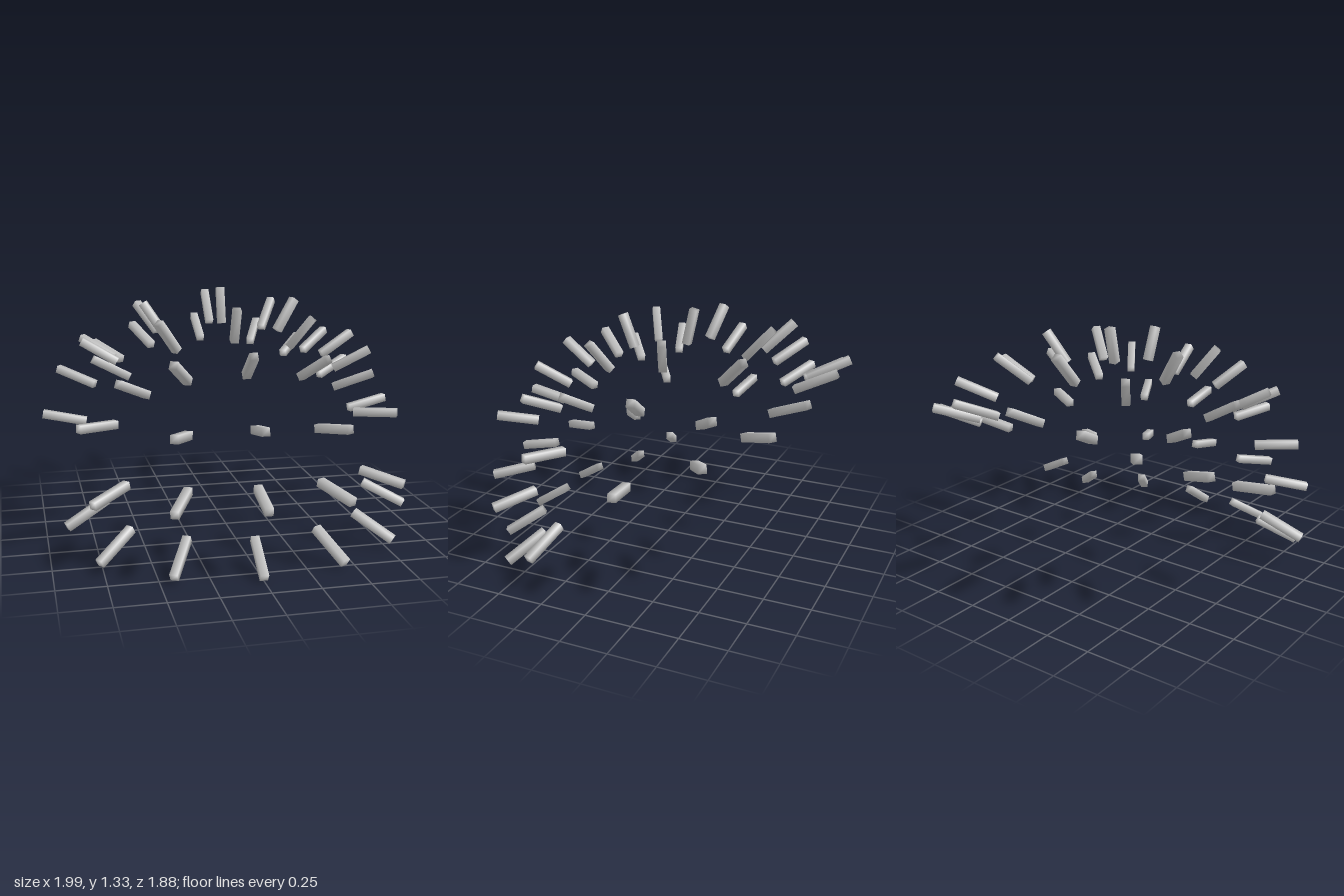
import * as THREE from 'three';
import { mergeVertices } from 'three/addons/utils/BufferGeometryUtils.js';

// Outer end of each bar [x, y, z], with an optional own aim point [y, z] on x = 0
const MIDDLE = [
  [0, 1.07, -0.93], [0, 1.26, -0.585], [0, 1.325, -0.15], [0, 1.255, 0.27],
  [0, 1.07, 0.63], [0, 0.75, 0.86], [0, 0.38, 0.94], [0, 0.018, 0.86],
];
const UPPER = [
  [0.4, 1.03, -0.9], [0.41, 1.2, -0.575], [0.43, 1.25, -0.155], [0.41, 1.195, 0.26], [0.39, 1.035, 0.59],
  [0.65, 0.94, -0.81], [0.74, 1.01, -0.55], [0.77, 1.05, -0.15], [0.74, 1.015, 0.235], [0.65, 0.94, 0.52],
];
const SIDE = [
  [0.88, 0.83, -0.56, 0.49, -0.03], [0.99, 0.657, -0.155, 0.47, 0.01],
  [0.84, 0.698, 0.41, 0.65, -0.08], [0.91, 0.18, 0.37, 0.66, 0.08],
];
const FRONT = [
  [0.43, 0.73, 0.83], [0.44, 0.375, 0.87], [0.435, 0.035, 0.8],
  [0.8, 0.37, 0.635], [0.77, 0.055, 0.59],
];

// Square bar whose normals are blended across its edges
function barGeometry(length) {
  const box = new THREE.BoxGeometry(0.042, 0.042, length);
  box.deleteAttribute('normal');
  box.deleteAttribute('uv');
  const geometry = mergeVertices(box);
  geometry.computeVertexNormals();
  return geometry;
}

export function createModel() {
  const model = new THREE.Group();
  model.name = 'radialBarDome';
  const material = new THREE.MeshStandardMaterial({ color: 0xcccccc });

  // Bar running inward from its outer end towards the aim point
  function addBar(name, side, [x, y, z, aimY = 0.59, aimZ = 0.01]) {
    const outer = new THREE.Vector3(side * x, y, z);
    const inward = new THREE.Vector3(0, aimY, aimZ).sub(outer);
    const length = 0.08 + 0.155 * inward.length();
    inward.normalize();
    const bar = new THREE.Mesh(barGeometry(length), material);
    bar.name = name;
    bar.position.copy(outer).addScaledVector(inward, length / 2);
    bar.lookAt(outer);
    model.add(bar);
  }

  // Bars along the middle plane
  MIDDLE.forEach((p, i) => addBar(`middleBar${i + 1}`, 1, p));

  // Mirrored bars
  for (const [name, points] of Object.entries({ Upper: UPPER, Side: SIDE, Front: FRONT })) {
    points.forEach((p, i) => {
      addBar(`left${name}Bar${i + 1}`, 1, p);
      addBar(`right${name}Bar${i + 1}`, -1, p);
    });
  }
  return model;
}
